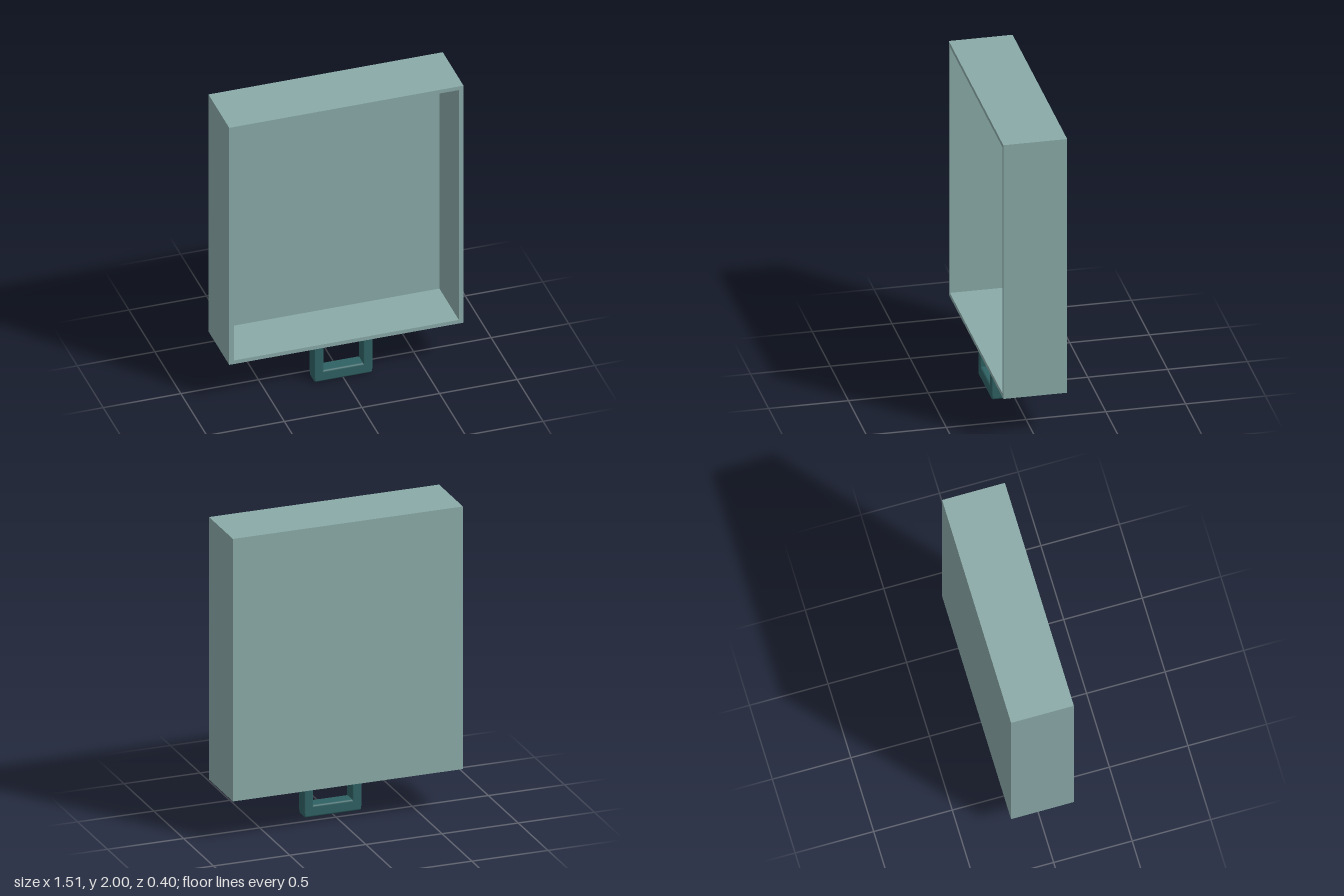
import * as THREE from 'three';
import { RoundedBoxGeometry } from 'three/addons/geometries/RoundedBoxGeometry.js';

export function createModel() {
  const model = new THREE.Group();
  model.name = 'openCabinet';
  const panelMaterial = new THREE.MeshStandardMaterial({ color: 0x8aaaa8 });
  const handleMaterial = new THREE.MeshStandardMaterial({ color: 0x2f6163 });

  const add = (parent, name, geometry, material, x, y, z) => {
    const mesh = new THREE.Mesh(geometry, material);
    mesh.name = name;
    mesh.position.set(x, y, z);
    parent.add(mesh);
  };

  // Open-fronted cabinet: full-width back, full-height sides, boards between
  const width = 1.51, bottom = 0.28, top = 2, depth = 0.4;
  const side = 0.03, board = 0.026, back = 0.025;
  const height = top - bottom, midY = (top + bottom) / 2;
  const innerDepth = depth - back, innerZ = back / 2;

  const cabinet = new THREE.Group();
  cabinet.name = 'cabinet';
  model.add(cabinet);

  add(cabinet, 'backPanel', new THREE.BoxGeometry(width, height, back),
    panelMaterial, 0, midY, -depth / 2 + back / 2);
  for (const [name, s] of [['leftSide', 1], ['rightSide', -1]]) {
    add(cabinet, name, new THREE.BoxGeometry(side, height, innerDepth),
      panelMaterial, s * (width - side) / 2, midY, innerZ);
  }
  for (const [name, s] of [['topBoard', 1], ['bottomBoard', -1]]) {
    add(cabinet, name, new THREE.BoxGeometry(width - 2 * side, board, innerDepth),
      panelMaterial, 0, midY + s * (height - board) / 2, innerZ);
  }

  // U-shaped pull hanging just below the cabinet
  const handle = new THREE.Group();
  handle.name = 'handle';
  handle.position.z = 0.097;
  model.add(handle);

  const handleWidth = 0.376, handleDepth = 0.096, post = 0.06, bar = 0.078;
  const postBottom = 0.02, postTop = 0.266;
  add(handle, 'handleBar', new RoundedBoxGeometry(handleWidth, bar, handleDepth, 3, 0.014),
    handleMaterial, 0, bar / 2, 0);
  for (const [name, s] of [['leftPost', 1], ['rightPost', -1]]) {
    add(handle, name, new RoundedBoxGeometry(post, postTop - postBottom, handleDepth, 3, 0.008),
      handleMaterial, s * (handleWidth - post) / 2, (postTop + postBottom) / 2, 0);
  }

  return model;
}
